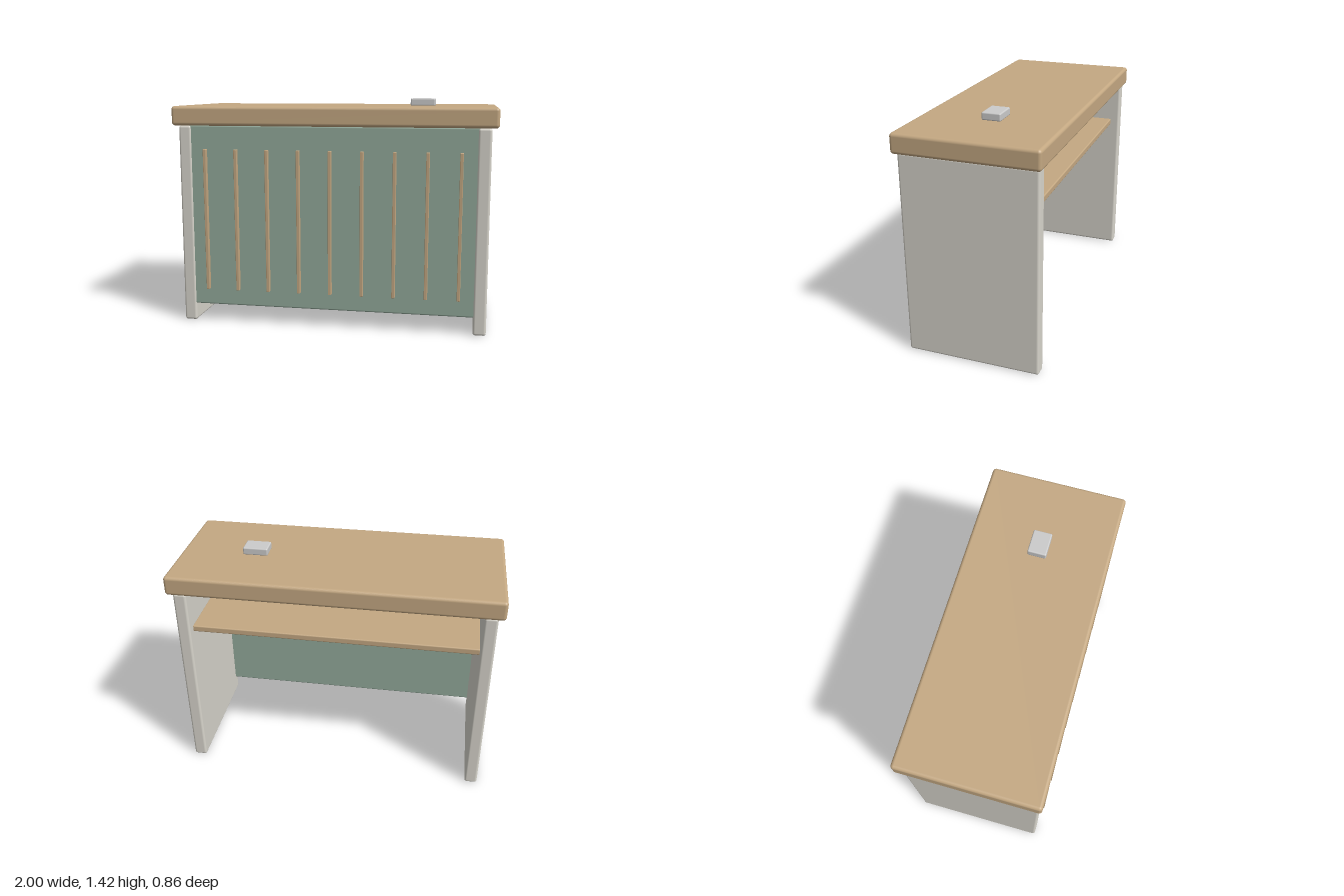
import * as THREE from 'three';
import { RoundedBoxGeometry } from 'three/addons/geometries/RoundedBoxGeometry.js';

export function createModel() {
  const desk = new THREE.Group();
  desk.name = 'desk';

  const wood = new THREE.MeshStandardMaterial({ color: 0xc4a882 });
  const stone = new THREE.MeshStandardMaterial({ color: 0xd8d5cc });
  const green = new THREE.MeshStandardMaterial({ color: 0x93aa9b });
  const metal = new THREE.MeshStandardMaterial({ color: 0xcccccc });

  // Rounded block given by its [min, max] extent on each axis
  function block(name, material, [x0, x1], [y0, y1], [z0, z1], radius) {
    const geometry = new RoundedBoxGeometry(x1 - x0, y1 - y0, z1 - z0, 3, radius);
    const mesh = new THREE.Mesh(geometry, material);
    mesh.name = name;
    mesh.position.set((x0 + x1) / 2, (y0 + y1) / 2, (z0 + z1) / 2);
    desk.add(mesh);
  }

  // Desktop
  block('desktop', wood, [-1, 1], [1.255, 1.375], [-0.43, 0.43], 0.02);

  // Side panels that act as legs
  block('leftSidePanel', stone, [0.88, 0.96], [0, 1.255], [-0.41, 0.41], 0.015);
  block('rightSidePanel', stone, [-0.96, -0.88], [0, 1.255], [-0.41, 0.41], 0.015);

  // Front modesty panel
  block('frontPanel', green, [-0.9, 0.9], [0.11, 1.257], [0.36, 0.403], 0.01);

  // Vertical slats on the front panel
  for (let i = -4; i <= 4; i++) {
    const x = i * 0.1975;
    block('slat', wood, [x - 0.01, x + 0.01], [0.215, 1.11], [0.396, 0.43], 0.003);
  }

  // Shelf under the desktop, open at the back
  block('shelf', wood, [-0.885, 0.885], [0.965, 1.005], [-0.35, 0.19], 0.008);

  // Small box on the desktop
  block('deskBox', metal, [0.455, 0.61], [1.374, 1.42], [-0.06, 0.056], 0.008);

  return desk;
}
